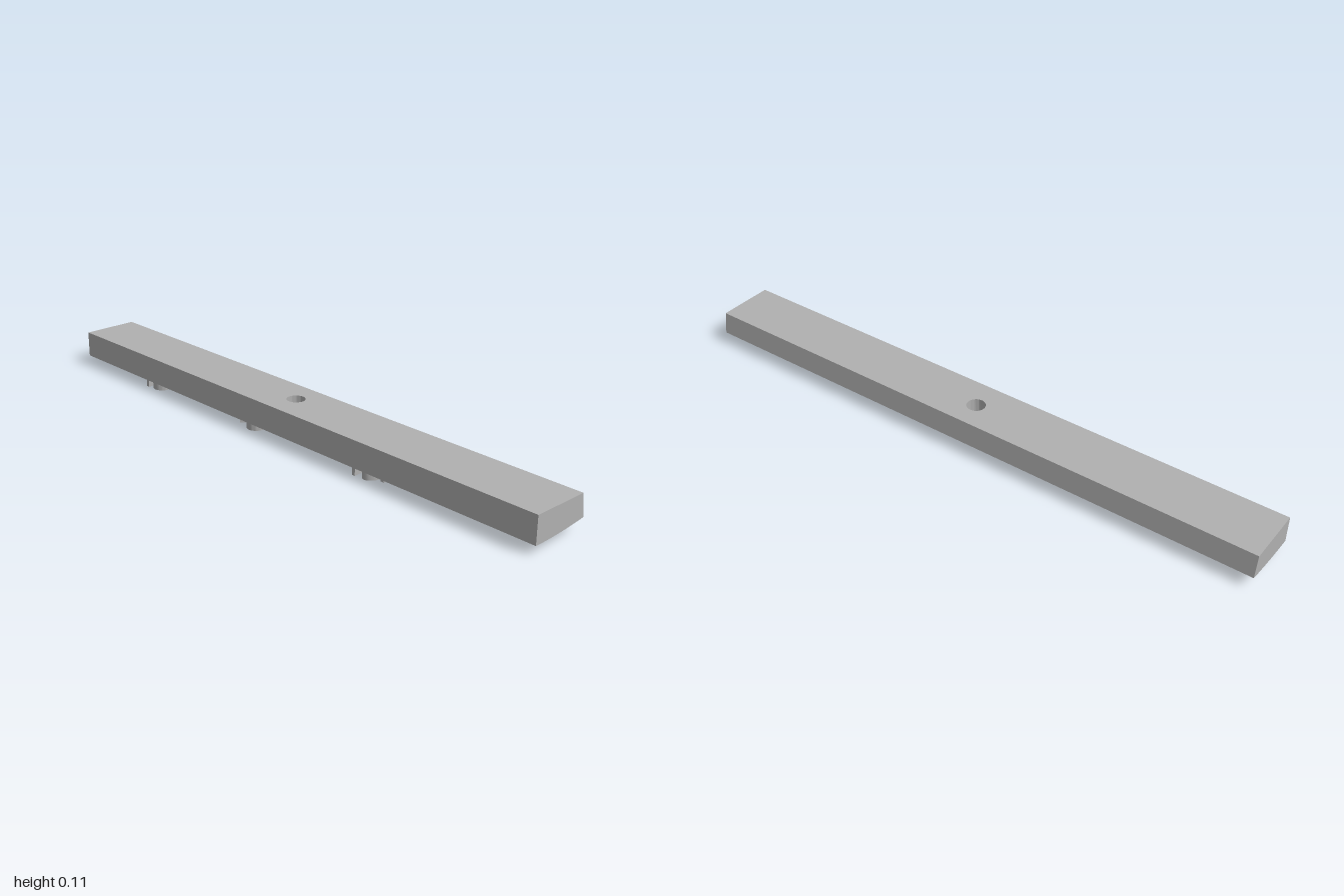
import * as THREE from 'three';
import { toCreasedNormals } from 'three/addons/utils/BufferGeometryUtils.js';

const TOP = 0.115;
const STEPS = 10;
const MID = 0.06; // half length of the drilled middle section

// height of the gently curved underside
const under = (x) => 0.028 + 0.35 * (x + 0.1) ** 2;
const stepX = (i) => -0.1 + (0.2 * i) / STEPS;

// extrude an outline in (x, z) downwards, then place each vertex by a rule
function extrudeDown(shape, place) {
  const geo = new THREE.ExtrudeGeometry(shape, { depth: 1, bevelEnabled: false, curveSegments: 24 });
  geo.rotateX(Math.PI / 2);
  const p = geo.attributes.position;
  for (let i = 0; i < p.count; i++) {
    const [x, y] = place(p.getX(i), p.getY(i) < -0.5);
    p.setXYZ(i, x, y, p.getZ(i));
  }
  return toCreasedNormals(geo, 0.5);
}

// outline of a stroke of constant width along a smooth path of [x, z] points
function stroke(points, width) {
  const curve = new THREE.SplineCurve(points.map(([x, z]) => new THREE.Vector2(x, z)));
  const n = points.length > 2 ? 28 : 1;
  const left = [], right = [];
  for (let i = 0; i <= n; i++) {
    const c = curve.getPoint(i / n), t = curve.getTangent(i / n);
    const off = new THREE.Vector2(-t.y, t.x).multiplyScalar(width / 2);
    left.push(c.clone().add(off));
    right.push(c.clone().sub(off));
  }
  return new THREE.Shape(left.concat(right.reverse()));
}

// points on an arc in (x, z)
function arc(cx, cz, r, from, to, n = 10) {
  return Array.from({ length: n + 1 }, (_, i) => {
    const a = from + ((to - from) * i) / n;
    return [cx + r * Math.cos(a), cz + r * Math.sin(a)];
  });
}

export function createModel() {
  const group = new THREE.Group();
  const grey = new THREE.MeshStandardMaterial({ color: 0xb0b0b0 });
  grey.name = 'grey';
  const add = (name, geo) => {
    const mesh = new THREE.Mesh(geo, grey);
    mesh.name = name;
    group.add(mesh);
    return mesh;
  };

  // two long end sections of the bar, from its cross-section
  const section = new THREE.Shape();
  section.moveTo(-0.1, TOP);
  for (let i = 0; i <= STEPS; i++) section.lineTo(stepX(i), under(stepX(i)));
  section.lineTo(0.09, TOP);
  const half = toCreasedNormals(
    new THREE.ExtrudeGeometry(section, { depth: 1 - MID, bevelEnabled: false }), 0.5);
  add('frontBar', half).position.z = MID;
  add('backBar', half).position.z = -1;

  // middle section with the round through hole
  const block = new THREE.Shape();
  block.moveTo(-0.1, -MID);
  for (let i = 1; i <= STEPS; i++) block.lineTo(stepX(i), -MID);
  for (let i = STEPS; i >= 0; i--) block.lineTo(stepX(i), MID);
  block.holes.push(new THREE.Path().absarc(0, 0, 0.03, 0, Math.PI * 2, true));
  add('drilledMiddle', extrudeDown(block, (x, low) =>
    low ? [x, under(x)] : [x > 0.099 ? 0.09 : x, TOP]));

  // raised ridges on the underside
  const ridge = (name, points, width = 0.012) =>
    add(name, extrudeDown(stroke(points, width), (x, low) => [x, low ? under(x) - 0.028 : 0.05]));

  // short straight ribs
  for (const z of [0.57, -0.43]) ridge('shortRib', [[0.022, z], [-0.033, z]]);

  // small pegs
  for (const [x, z] of [[0, 0.18], [0.012, -0.82], [-0.018, -0.82]]) {
    ridge('peg', [[x + 0.008, z], [x - 0.008, z]], 0.015);
  }

  // front cluster: straight rib with a double hook
  ridge('frontRib', [[-0.018, 0.345], [-0.092, 0.345]]);
  ridge('frontHook', [
    ...arc(-0.057, 0.376, 0.027, -Math.PI * 0.6, Math.PI * 0.35, 8).reverse().slice(0, 1),
    [-0.036, 0.385], [-0.05, 0.37], [-0.075, 0.372], [-0.085, 0.39], [-0.07, 0.407],
    [-0.05, 0.413], [-0.035, 0.425], [-0.045, 0.437], [-0.065, 0.434],
  ].slice(1));

  // centre cluster: ring with a sweeping arm
  ridge('centreRing', arc(-0.058, -0.122, 0.026, 0, Math.PI * 2, 14));
  ridge('centreArm', [[-0.03, -0.122], [-0.036, -0.15], [-0.052, -0.175], [-0.07, -0.19]]);

  // back cluster: straight rib with an open hook
  ridge('backRib', [[-0.018, -0.655], [-0.092, -0.655]]);
  ridge('backHook', arc(-0.057, -0.615, 0.028, -Math.PI * 0.3, -Math.PI * 1.75, 12));

  return group;
}
